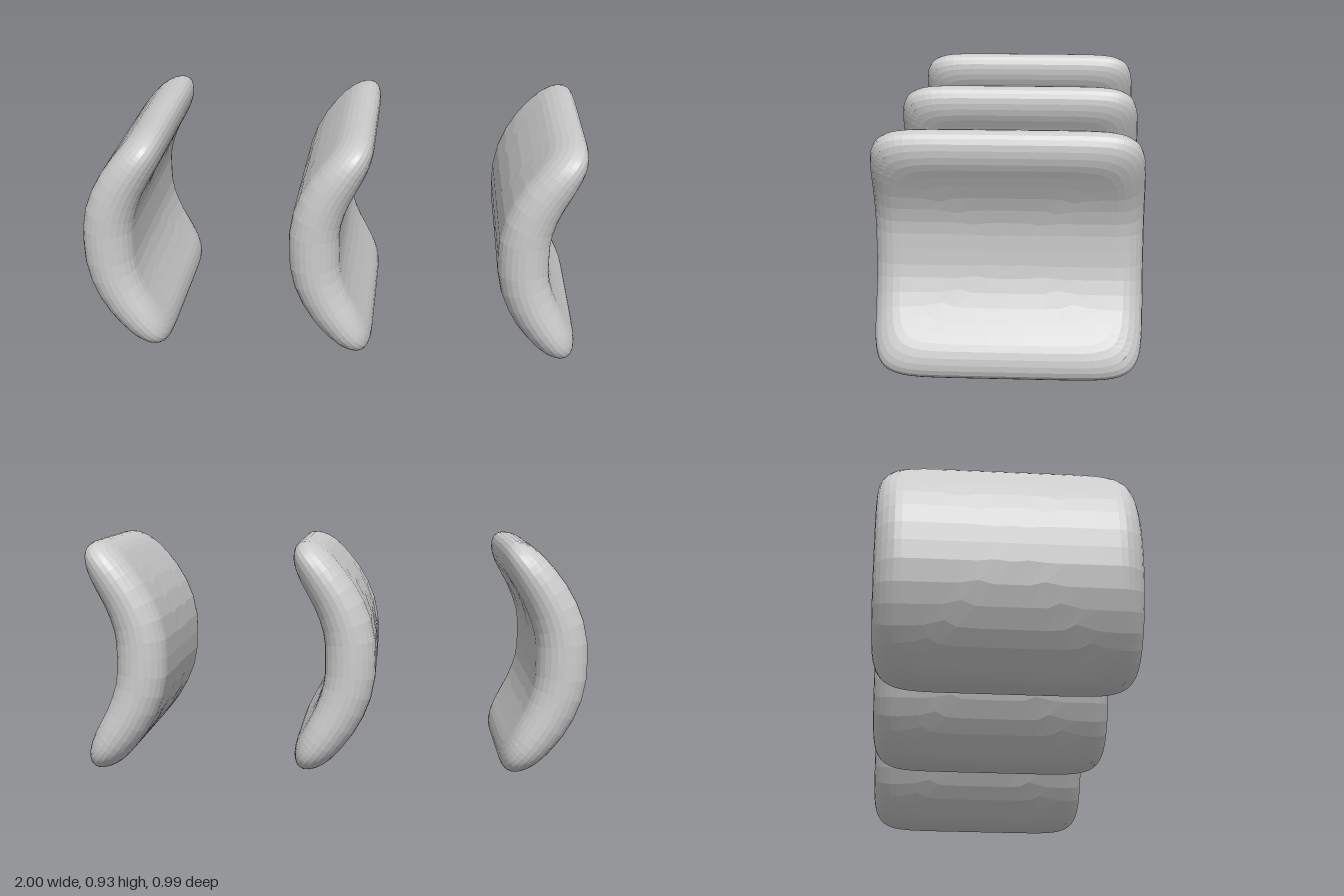
import * as THREE from 'three';
import { mergeGeometries, mergeVertices } from 'three/addons/utils/BufferGeometryUtils.js';

const MID_Y = 0.47, HALF_DEPTH = 0.493, EDGE = 0.2, CORNER = 8;

// Upper half of the C-shaped centreline, mirrored about mid height
const upper = [[-0.065, 0], [-0.058, 0.105], [-0.02, 0.215], [0.048, 0.325], [0.147, 0.453]];
const lower = upper.slice(1).reverse().map(([x, y]) => [x, -y]);
const spine = new THREE.CatmullRomCurve3(
  [...lower, ...upper].map(([x, y]) => new THREE.Vector3(x, MID_Y + y, 0)));

// Grid lines: even across the middle, closing up round the rim
const half = [0.13, 0.26, 0.39, 0.52, 0.64, 0.73, 0.8];
for (let i = 1; i <= 6; i++) half.push(1 - EDGE * (1 - Math.sin(i * Math.PI / 12)));
const stops = [...half.map(v => -v).reverse(), 0, ...half];

// One face of the slab; side +1 is the convex back, -1 the hollow face
function slabFace(side) {
  const n = stops.length - 1;
  const geo = new THREE.PlaneGeometry(2, 2, n, n);
  const pos = geo.attributes.position;
  for (let i = 0; i < pos.count; i++) {
    const a = stops[n - Math.floor(i / (n + 1))];
    const b = stops[i % (n + 1)] * side;
    // Round the corners of the square grid
    const rim = Math.max(Math.abs(a), Math.abs(b));
    const k = rim ? rim / Math.pow(Math.abs(a) ** CORNER + Math.abs(b) ** CORNER, 1 / CORNER) : 1;
    const s = a * k;
    const u = THREE.MathUtils.clamp((s + 1) / 2, 0, 1);
    const p = spine.getPointAt(u), t = spine.getTangentAt(u);
    // Thickness tapers to the tips and rounds off at the rim
    const d = Math.min(1, (1 - rim) / EDGE);
    const h = side * (0.101 - 0.035 * s * s) * Math.sqrt(Math.max(0, 1 - (1 - d) ** 2));
    pos.setXYZ(i, p.x - t.y * h, p.y + t.x * h, b * k * HALF_DEPTH);
  }
  geo.deleteAttribute('uv');
  geo.deleteAttribute('normal');
  return geo;
}

export function createModel() {
  const group = new THREE.Group();
  group.name = 'curvedSlabs';
  const grey = new THREE.MeshStandardMaterial({ color: 0xcccccc, flatShading: true });
  grey.name = 'lightGrey';

  const slab = mergeVertices(mergeGeometries([slabFace(1), slabFace(-1)]), 1e-5);
  slab.computeVertexNormals();

  // Three equal slabs in a row
  ['rightSlab', 'middleSlab', 'leftSlab'].forEach((name, i) => {
    const mesh = new THREE.Mesh(slab, grey);
    mesh.name = name;
    mesh.position.x = (i - 1) * 0.832;
    group.add(mesh);
  });
  return group;
}
